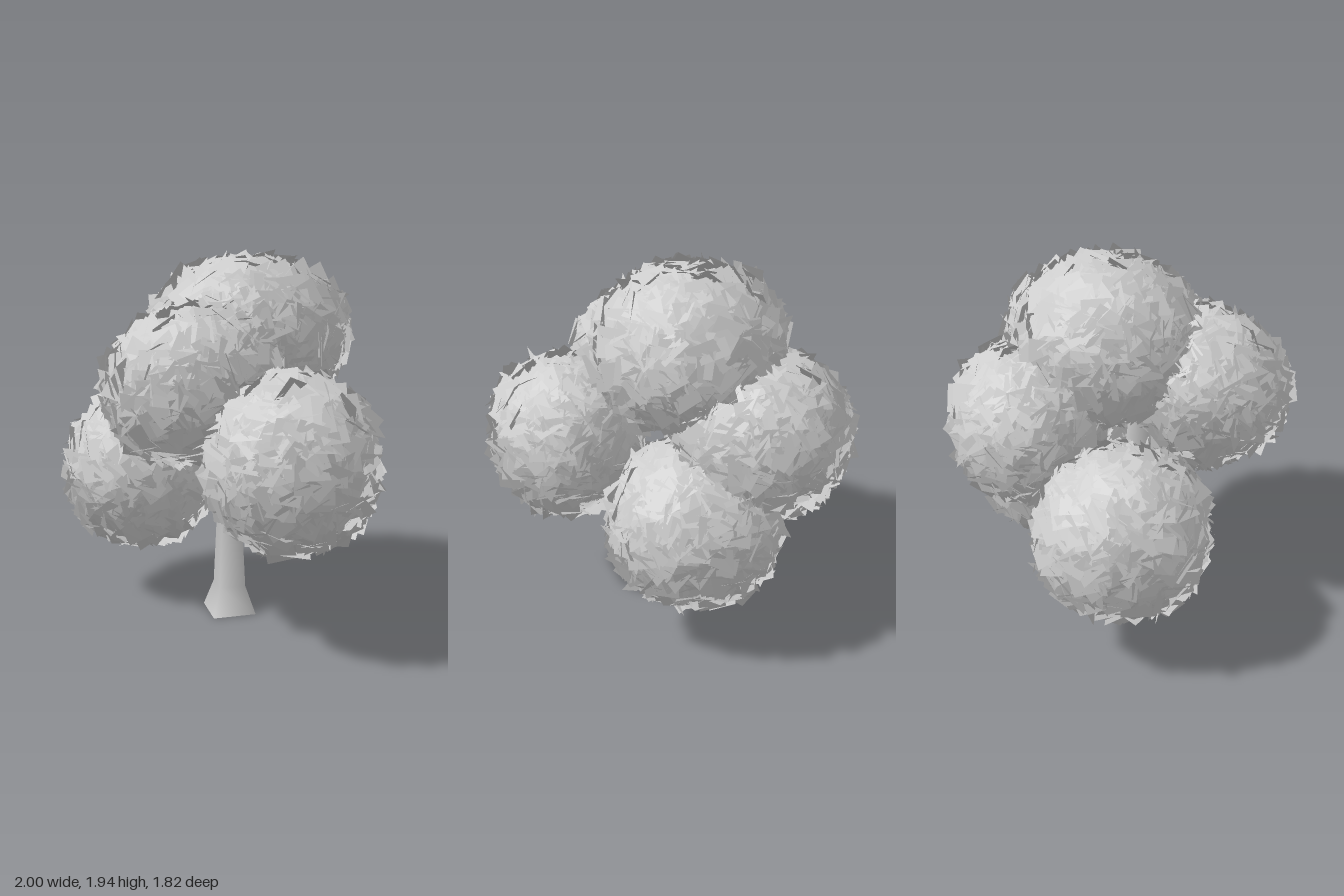
import * as THREE from 'three';

// Small seeded random generator
function seeded(seed) {
  let s = seed;
  return () => {
    s = (s * 16807) % 2147483647;
    return s / 2147483647;
  };
}

const bark = new THREE.MeshStandardMaterial({ color: 0xcccccc, side: THREE.DoubleSide });
const leaf = new THREE.MeshStandardMaterial({ color: 0xcccccc, side: THREE.DoubleSide });

// Slightly squarish ball of overlapping square leaf cards, lit with the normals of the ball.
// The last radius lies along z, swung about y by turn degrees toward +x, then pitched downward.
function leafClump(name, center, radii, turn, pitch, seed, count) {
  const rnd = seeded(seed);
  const pos = [], nor = [], idx = [];
  const up = new THREE.Vector3(0, 0, 1);
  const dir = new THREE.Vector3(), tilt = new THREE.Vector3();
  const q = new THREE.Quaternion(), spin = new THREE.Quaternion();
  const inner = new THREE.Vector3(...radii).subScalar(0.052);
  const power = 2.3;
  for (let i = 0; i < count; i++) {
    const y = 1 - (2 * (i + 0.5)) / count;
    const a = i * 2.39996 + rnd() * 0.3;
    const r = Math.sqrt(1 - y * y);
    dir.set(r * Math.cos(a), y, r * Math.sin(a));
    const bulge = dir.toArray().reduce((sum, v) => sum + Math.abs(v) ** power, 0) ** (-1 / power);
    const c = inner.clone().multiply(dir).multiplyScalar(bulge * (1 - rnd() * 0.07));
    // Tilt each card a little away from the surface and turn it at random
    tilt.set(rnd() - 0.5, rnd() - 0.5, rnd() - 0.5).multiplyScalar(1.3).add(dir).normalize();
    q.setFromUnitVectors(up, tilt).multiply(spin.setFromAxisAngle(up, rnd() * Math.PI));
    const h = 0.064 + rnd() * 0.012;
    const n = dir.clone().multiplyScalar(5).add(tilt).normalize();
    const base = pos.length / 3;
    for (const [u, v] of [[-1, -1], [1, -1], [1, 1], [-1, 1]]) {
      const p = new THREE.Vector3(u * h, v * h, 0).applyQuaternion(q).add(c);
      pos.push(p.x, p.y, p.z);
      nor.push(n.x, n.y, n.z);
    }
    idx.push(base, base + 1, base + 2, base, base + 2, base + 3);
  }
  const geo = new THREE.BufferGeometry();
  geo.setAttribute('position', new THREE.Float32BufferAttribute(pos, 3));
  geo.setAttribute('normal', new THREE.Float32BufferAttribute(nor, 3));
  geo.setIndex(idx);
  const mesh = new THREE.Mesh(geo, leaf);
  mesh.name = name;
  mesh.position.set(...center);
  mesh.rotation.set(THREE.MathUtils.degToRad(pitch), THREE.MathUtils.degToRad(turn), 0);
  return mesh;
}

// Tapered branch between two points
function branch(name, from, to, r0, r1) {
  const a = new THREE.Vector3(...from), b = new THREE.Vector3(...to);
  const d = b.clone().sub(a);
  const mesh = new THREE.Mesh(new THREE.CylinderGeometry(r1, r0, d.length(), 6), bark);
  mesh.name = name;
  mesh.position.copy(a).add(b).multiplyScalar(0.5);
  mesh.quaternion.setFromUnitVectors(new THREE.Vector3(0, 1, 0), d.normalize());
  return mesh;
}

export function createModel() {
  const tree = new THREE.Group();
  tree.name = 'tree';

  // Four-sided trunk with a flared foot, corners facing the axes
  const profile = [[0.165, 0], [0.1, 0.15], [0.08, 0.5], [0.06, 0.95], [0.04, 1.2]]
    .map(([r, y]) => new THREE.Vector2(r, y));
  const trunk = new THREE.Mesh(new THREE.LatheGeometry(profile, 4), bark);
  trunk.name = 'trunk';
  trunk.position.set(0.035, 0, 0.085);
  tree.add(trunk);

  // Branches reaching into the clumps
  const branches = [
    ['rightFork', [0.02, 0.48, 0.06], [-0.07, 0.7, 0.02], 0.06, 0.05],
    ['rightForkTip', [-0.06, 0.66, 0.02], [-0.14, 0.9, 0.0], 0.045, 0.03],
    ['backBranch', [-0.06, 0.68, 0.02], [-0.06, 1.1, -0.3], 0.04, 0.02],
    ['leftFork', [0.05, 0.68, 0.1], [0.12, 0.82, 0.15], 0.05, 0.045],
    ['leftForkTip', [0.11, 0.8, 0.15], [0.45, 0.95, 0.35], 0.04, 0.02],
    ['frontBranch', [0.04, 0.8, 0.1], [0.0, 1.25, 0.38], 0.045, 0.02],
  ];
  for (const b of branches) tree.add(branch(...b));

  // Foliage: center, radii, turn, pitch and number of leaf cards of each clump
  const clumps = [
    ['topFoliage', [0.06, 1.51, -0.09], [0.51, 0.43, 0.55], -45, 0, 1200],
    ['frontFoliage', [0.03, 1.3, 0.42], [0.41, 0.4, 0.48], -30, 22, 900],
    ['rightFoliage', [-0.55, 0.73, 0.05], [0.43, 0.46, 0.47], 0, 0, 900],
    ['leftFoliage', [0.55, 0.95, 0.38], [0.43, 0.46, 0.45], 0, 0, 900],
    ['lowBackFoliage', [0.24, 0.69, -0.41], [0.4, 0.45, 0.47], 45, 0, 900],
    ['highBackFoliage', [-0.13, 1.13, -0.46], [0.43, 0.43, 0.48], 90, 0, 900],
  ];
  clumps.forEach(([name, c, r, turn, pitch, n], i) =>
    tree.add(leafClump(name, c, r, turn, pitch, 101 + i * 7919, n)));
  return tree;
}
